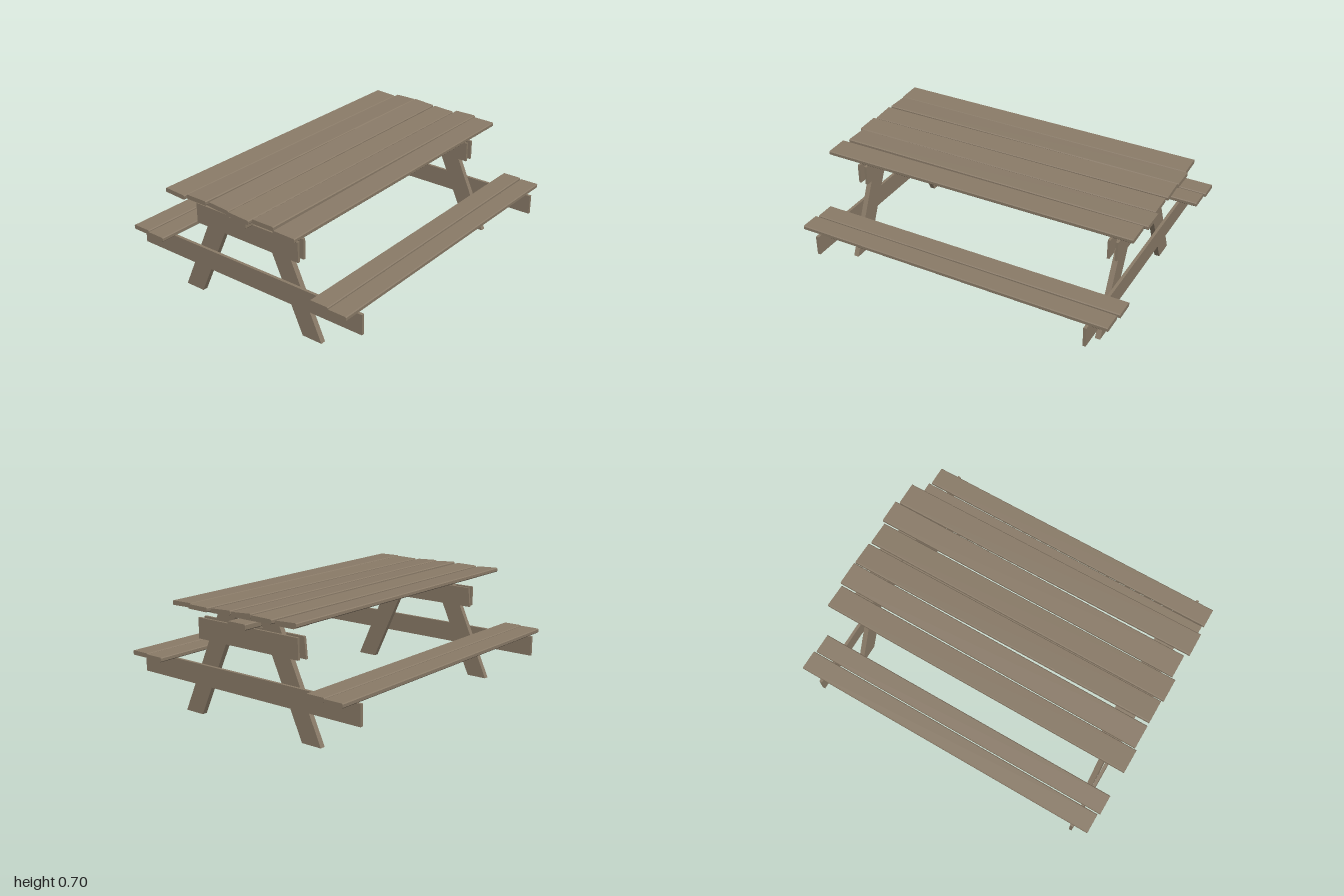
import * as THREE from 'three';

const wood = new THREE.MeshStandardMaterial({ color: 0x8a7b68, flatShading: true });
wood.name = 'weathered wood';

// Plank running along x with chamfered long edges
function plankGeometry(length, height, depth, c = 0.005) {
  const w = depth / 2, h = height / 2;
  const profile = new THREE.Shape([
    [-w + c, -h], [w - c, -h], [w, -h + c], [w, h - c],
    [w - c, h], [-w + c, h], [-w, h - c], [-w, -h + c],
  ].map(([x, y]) => new THREE.Vector2(x, y)));
  return new THREE.ExtrudeGeometry(profile, { depth: length, bevelEnabled: false })
    .translate(0, 0, -length / 2).rotateY(Math.PI / 2);
}

// Board with a z-y outline and a thickness between x0 and x1
function boardGeometry(outline, x0, x1) {
  const shape = new THREE.Shape(outline.map(([z, y]) => new THREE.Vector2(-z, y)));
  return new THREE.ExtrudeGeometry(shape, { depth: x1 - x0, bevelEnabled: false })
    .rotateY(Math.PI / 2).translate(x0, 0, 0);
}

const rect = (z, y0, y1) => [[-z, y0], [z, y0], [z, y1], [-z, y1]];

export function createModel() {
  const group = new THREE.Group();
  const add = (name, geometry) => {
    const mesh = new THREE.Mesh(geometry, wood);
    mesh.name = name;
    group.add(mesh);
    return mesh;
  };

  // Tabletop planks: x start, x end, z, y, roll, yaw
  [
    [-0.995, 0.963, -0.398, 0.682, 0.05, -0.003],
    [-0.983, 0.978, -0.243, 0.685, -0.01, -0.005],
    [-0.983, 0.973, -0.084, 0.686, 0.07, 0.003],
    [-0.995, 0.965, 0.073, 0.680, 0.05, 0],
    [-0.972, 0.985, 0.229, 0.681, -0.01, -0.002],
    [-0.998, 0.961, 0.387, 0.679, 0.02, 0.006],
  ].forEach(([x0, x1, z, y, roll, yaw], i) => {
    const plank = add(`tabletopPlank${i + 1}`, plankGeometry(x1 - x0, 0.026, 0.146));
    plank.position.set((x0 + x1) / 2, y, z);
    plank.rotation.set(roll, yaw, 0);
  });

  // Bench planks: x start, x end, z, yaw
  [
    [-0.972, 0.996, -0.739, -0.003],
    [-0.985, 0.983, -0.608, -0.002],
    [-0.972, 0.996, 0.598, 0.001],
    [-0.985, 0.983, 0.729, -0.001],
  ].forEach(([x0, x1, z, yaw], i) => {
    const plank = add(`benchPlank${i + 1}`, plankGeometry(x1 - x0, 0.027, 0.122));
    plank.position.set((x0 + x1) / 2, 0.335, z);
    plank.rotation.y = yaw;
  });

  // Long beam under the tabletop
  add('centreBeam', plankGeometry(1.855, 0.035, 0.132)).position.set(-0.005, 0.605, 0);

  // The two end frames
  [-1, 1].forEach((side) => {
    const x = side < 0 ? -0.836 : 0.816;
    const end = side < 0 ? 'right' : 'left';

    // Splayed legs
    [-1, 1].forEach((s) => {
      const outline = [[0.515, 0], [0.383, 0], [0.09, 0.637], [0.225, 0.637]]
        .map(([z, y]) => [z * s, y]);
      add(`${end}${s > 0 ? 'Front' : 'Back'}Leg`, boardGeometry(outline, x - 0.016, x + 0.016));
    });

    // Flat cleat carrying the tabletop
    add(`${end}Cleat`, boardGeometry(rect(0.373, 0.636, 0.664), x - 0.062, x + 0.062));

    // Pair of upper braces sandwiching the legs
    [-1, 1].forEach((s) => {
      const xb = x + s * 0.0235;
      const outline = s === side ? rect(0.374, 0.46, 0.583)
        : [[-0.39, 0.46], [0.374, 0.46], [0.374, 0.583], [-0.378, 0.583]];
      add(`${end}UpperBrace`, boardGeometry(outline, xb - 0.0075, xb + 0.0075));
    });

    // Long lower brace carrying the benches
    const xl = side < 0 ? -0.873 : 0.863;
    add(`${end}LowerBrace`, boardGeometry(rect(0.812, 0.195, 0.318), xl - 0.009, xl + 0.009));
  });

  return group;
}
